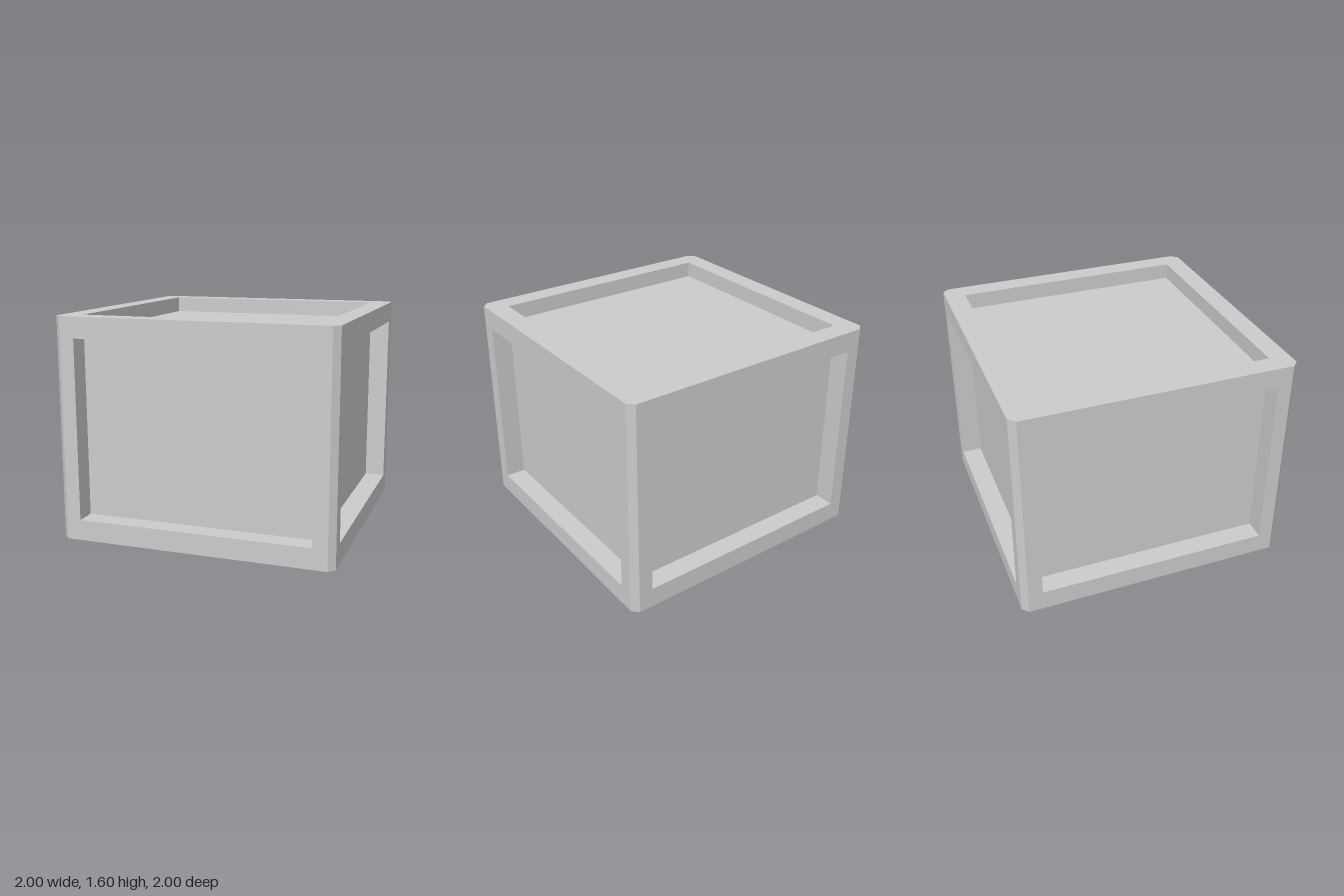
import * as THREE from 'three';

const H = 1.6, CUT = 0.045, RIM = 0.15;
const material = new THREE.MeshStandardMaterial({ color: 0xcccccc, flatShading: true });

function addMesh(parent, name, geometry) {
  const mesh = new THREE.Mesh(geometry, material);
  mesh.name = name;
  parent.add(mesh);
  return mesh;
}

const points = (list) => list.map(([x, y]) => new THREE.Vector2(x, y));

// One face of the crate, facing +z: a flat rim, four recess walls and a sunken panel
function recessedFace(name, outline, hw, hh, depth) {
  const face = new THREE.Group();
  face.name = name;

  const rim = new THREE.Shape(points(outline));
  rim.holes.push(new THREE.Path(points([[-hw, -hh], [-hw, hh], [hw, hh], [hw, -hh]])));
  addMesh(face, 'rim', new THREE.ShapeGeometry(rim));

  for (const s of [-1, 1]) {
    addMesh(face, 'recessSideWall', new THREE.PlaneGeometry(depth, 2 * hh)
      .rotateY(-s * Math.PI / 2).translate(s * hw, 0, -depth / 2));
    addMesh(face, 'recessEndWall', new THREE.PlaneGeometry(2 * hw, depth)
      .rotateX(s * Math.PI / 2).translate(0, s * hh, -depth / 2));
  }

  addMesh(face, 'panel', new THREE.PlaneGeometry(2 * hw, 2 * hh).translate(0, 0, -depth));
  return face;
}

export function createModel() {
  const crate = new THREE.Group();
  crate.name = 'crate';
  const e = 1 - CUT, inner = 1 - RIM;

  // Four sides and the bevelled upright corners between them
  const side = [[-e, -H / 2], [e, -H / 2], [e, H / 2], [-e, H / 2]];
  ['front', 'left', 'back', 'right'].forEach((name, i) => {
    const angle = i * Math.PI / 2;
    const pivot = new THREE.Group();
    pivot.name = name + 'Side';
    pivot.rotation.y = angle;
    pivot.position.y = H / 2;
    const face = recessedFace(name + 'Face', side, inner, H / 2 - RIM, 0.15);
    face.position.z = 1;
    pivot.add(face);
    addMesh(pivot, 'cornerBevel', new THREE.PlaneGeometry(CUT * Math.SQRT2, H)
      .rotateY(Math.PI / 4).translate(1 - CUT / 2, 0, 1 - CUT / 2));
    crate.add(pivot);
  });

  // Top and bottom, with clipped corners
  const clipped = [[-e, -1], [e, -1], [1, -e], [1, e], [e, 1], [-e, 1], [-1, e], [-1, -e]];
  for (const s of [1, -1]) {
    const face = recessedFace(s > 0 ? 'top' : 'bottom', clipped, inner, inner, 0.12);
    face.rotation.x = -s * Math.PI / 2;
    face.position.y = s > 0 ? H : 0;
    crate.add(face);
  }
  return crate;
}
